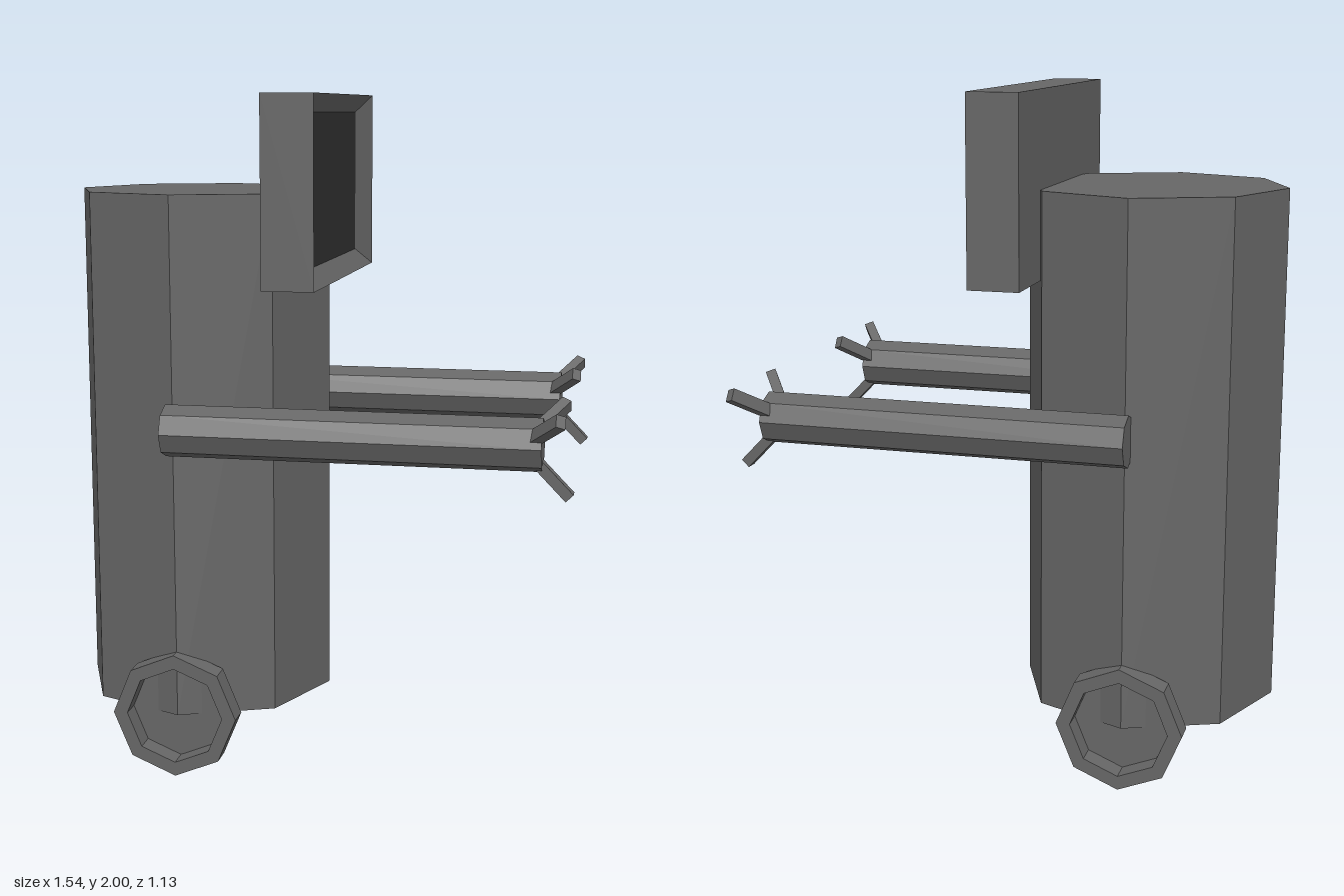
import * as THREE from 'three';

const grey = new THREE.MeshStandardMaterial({ color: 0x666666 });
grey.name = 'grey';
const dark = new THREE.MeshStandardMaterial({ color: 0x333333 });
dark.name = 'darkScreen';

// Adds a faceted mesh with flat normals
function part(parent, name, geometry, material = grey) {
  const g = geometry.index ? geometry.toNonIndexed() : geometry;
  g.computeVertexNormals();
  const mesh = new THREE.Mesh(g, material);
  mesh.name = name;
  parent.add(mesh);
  return mesh;
}

// Joins rectangles [x, halfHeight, halfDepth] into a shell along x
function rectLoft(rings) {
  const corner = ([x, h, d], k) => [x, k % 4 === 0 || k % 4 === 3 ? h : -h, k % 4 < 2 ? d : -d];
  const pos = [];
  for (let i = 0; i < rings.length - 1; i++) {
    for (let k = 0; k < 4; k++) {
      const a = corner(rings[i], k), b = corner(rings[i], k + 1);
      const c = corner(rings[i + 1], k + 1), d = corner(rings[i + 1], k);
      pos.push(...a, ...b, ...c, ...a, ...c, ...d);
    }
  }
  const g = new THREE.BufferGeometry();
  g.setAttribute('position', new THREE.Float32BufferAttribute(pos, 3));
  return g;
}

// Square bar between two points, its width kept square to the arm's axis
function finger(parent, from, to) {
  const a = new THREE.Vector3(...from), b = new THREE.Vector3(...to);
  const along = b.clone().sub(a);
  const length = along.length();
  along.normalize();
  const side = new THREE.Vector3(1, 0, 0).cross(along).normalize();
  const up = along.clone().cross(side);
  const mesh = part(parent, 'finger', new THREE.BoxGeometry(length, 0.037, 0.03));
  mesh.quaternion.setFromRotationMatrix(new THREE.Matrix4().makeBasis(along, side, up));
  mesh.position.copy(a).add(b).multiplyScalar(0.5);
}

export function createModel() {
  const model = new THREE.Group();
  model.name = 'robot';

  // Eight-sided body
  const body = part(model, 'body', new THREE.CylinderGeometry(0.385, 0.385, 1.54, 8));
  body.position.set(-0.386, 0.95, 0);

  // Head: a monitor with a sloping recess on its +x side
  const head = new THREE.Group();
  head.name = 'head';
  head.position.y = 1.731;
  model.add(head);
  part(head, 'monitorCase', rectLoft([
    [-0.102, 0, 0], [-0.102, 0.269, 0.462], [0.048, 0.269, 0.462], [0.008, 0.217, 0.375],
  ]));
  part(head, 'screen', rectLoft([[0.008, 0.217, 0.375], [0.008, 0, 0]]), dark);

  for (const s of [1, -1]) {
    // Wheel with a raised rim around a sunken disc
    const profile = [[0, 0], [0.187, 0], [0.187, 0.07], [0.145, 0.07], [0.145, 0.007], [0, 0.007]]
      .map(([r, y]) => new THREE.Vector2(r, y));
    const wheel = part(model, s > 0 ? 'rightWheel' : 'leftWheel', new THREE.LatheGeometry(profile, 8));
    wheel.rotation.x = s * Math.PI / 2;
    wheel.position.set(-0.386, 0.19, s * 0.35);

    // Arm reaching forward, with three spread fingers
    const arm = new THREE.Group();
    arm.name = s > 0 ? 'rightArm' : 'leftArm';
    arm.position.set(0, 1.049, s > 0 ? 0.402 : -0.407);
    model.add(arm);
    const tube = part(arm, 'armTube', new THREE.CylinderGeometry(0.076, 0.076, 1.08, 8));
    tube.rotation.z = -Math.PI / 2;
    tube.position.x = 0.139;
    finger(arm, [0.66, -0.045, 0], [0.756, -0.144, 0]);
    for (const f of [1, -1]) finger(arm, [0.66, 0.03, f * 0.05], [0.734, 0.093, f * 0.143]);
  }
  return model;
}
